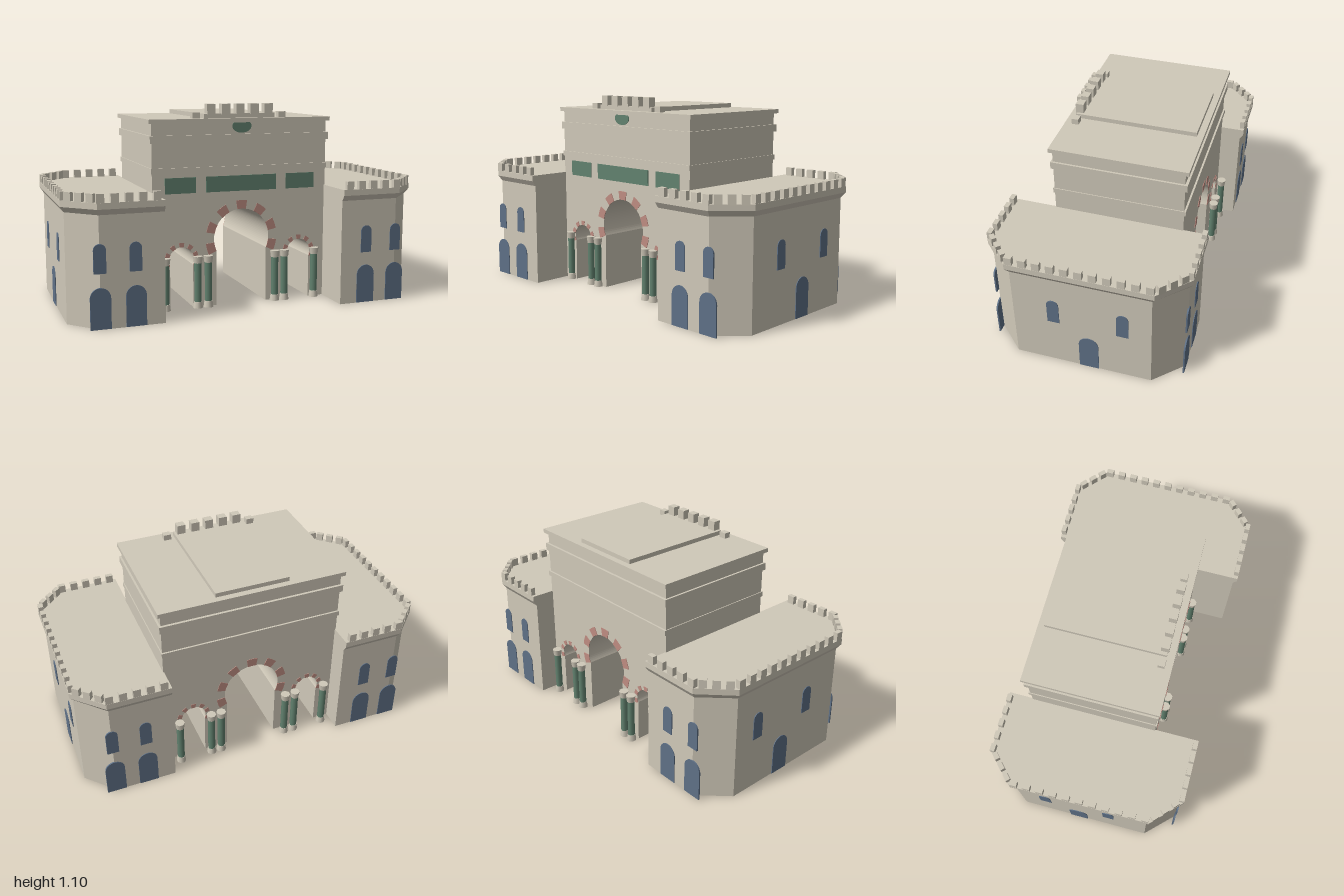
import * as THREE from 'three';

const mat = (name, color) => {
  const m = new THREE.MeshStandardMaterial({ color });
  m.name = name;
  return m;
};

export function createModel() {
  const root = new THREE.Group();
  root.name = 'cityGate';
  const stone = mat('stone', 0xd0c9b9);
  const green = mat('green', 0x62826f);
  const blue = mat('blue', 0x5f7187);
  const red = mat('brick', 0xbf8d82);
  const FRONT = 0.295, BACK = -0.405, PLATE = 0.008;
  const rad = THREE.MathUtils.degToRad;

  const add = (name, geo, material, parent = root) => {
    const mesh = new THREE.Mesh(geo, material);
    mesh.name = name;
    parent.add(mesh);
    return mesh;
  };
  const box = (name, x0, x1, y0, y1, z0, z1, material = stone) =>
    add(name, new THREE.BoxGeometry(x1 - x0, y1 - y0, z1 - z0), material)
      .position.set((x0 + x1) / 2, (y0 + y1) / 2, (z0 + z1) / 2);
  const extrude = (shape, depth, curveSegments = 24) =>
    new THREE.ExtrudeGeometry(shape, { depth, bevelEnabled: false, curveSegments });

  // Central block pierced by three horseshoe arches
  const SPAN = rad(114);
  const arches = [
    { x: -0.345, y: 0.267, r: 0.071, outer: 0.096 },
    { x: 0, y: 0.37, r: 0.16, outer: 0.208 },
    { x: 0.345, y: 0.267, r: 0.071, outer: 0.096 },
  ];
  const wall = new THREE.Shape();
  wall.moveTo(-0.505, 0);
  for (const a of arches) {
    const w = a.r * Math.sin(SPAN), spring = a.y + a.r * Math.cos(SPAN);
    wall.lineTo(a.x - w, 0);
    wall.lineTo(a.x - w, spring);
    wall.absarc(a.x, a.y, a.r, Math.PI / 2 + SPAN, Math.PI / 2 - SPAN, true);
    wall.lineTo(a.x + w, 0);
  }
  wall.lineTo(0.505, 0);
  wall.lineTo(0.505, 1.005);
  wall.lineTo(-0.505, 1.005);
  add('centralBlock', extrude(wall, FRONT - BACK, 32), stone).position.z = BACK;

  // Alternating brick wedges round each arch, front and back
  const step = (2 * SPAN) / 13;
  for (const a of arches) {
    for (let i = -3; i <= 3; i++) {
      const mid = Math.PI / 2 + i * 2 * step, s = new THREE.Shape();
      s.absarc(0, 0, a.outer, mid - step / 2, mid + step / 2, false);
      s.absarc(0, 0, a.r, mid + step / 2, mid - step / 2, true);
      const geo = extrude(s, PLATE, 5);
      for (const z of [FRONT - 0.005, BACK - 0.003]) {
        add('archWedge', geo, red).position.set(a.x, a.y, z);
      }
    }
  }

  // String courses, cornice and raised roof
  box('lowerBand', -0.51, 0.51, 0.74, 0.768, -0.415, 0.302);
  box('upperBand', -0.516, 0.516, 0.9, 0.94, -0.419, 0.306);
  box('cornice', -0.522, 0.522, 1.003, 1.026, -0.425, 0.311);
  box('raisedRoof', -0.208, 0.204, 1.026, 1.05, -0.39, 0.27);
  for (let i = -2; i <= 2; i++) {
    const x = i * 0.083;
    box('roofMerlon', x - 0.024, x + 0.024, 1.045, 1.102, 0.232, 0.275);
  }
  for (const x of [-0.252, 0.248]) {
    box('smallMerlon', x - 0.021, x + 0.021, 1.02, 1.057, 0.235, 0.272);
  }

  // Painted panels and oval on the front
  for (const [x0, x1] of [[-0.435, -0.263], [-0.205, 0.203], [0.262, 0.434]]) {
    box('frontPanel', x0, x1, 0.63, 0.715, FRONT - 0.004, FRONT + 0.004, green);
  }
  const oval = new THREE.Shape();
  oval.absellipse(0, 0, 0.055, 0.036, 0, Math.PI * 2);
  add('frontOval', extrude(oval, PLATE), green).position.set(0, 0.983, FRONT - 0.004);

  // Columns beside the arches
  const shaftGeo = new THREE.CylinderGeometry(0.02, 0.02, 0.24, 8);
  const capGeo = new THREE.CylinderGeometry(0.027, 0.022, 0.037, 8);
  const baseGeo = new THREE.CylinderGeometry(0.022, 0.027, 0.035, 8);
  for (const g of [shaftGeo, capGeo, baseGeo]) g.rotateY(Math.PI / 8);
  for (const z of [FRONT + 0.015, BACK - 0.034]) {
    for (const x of [-0.44, -0.258, -0.198, 0.195, 0.253, 0.437]) {
      const column = new THREE.Group();
      column.name = 'column';
      column.position.set(x, 0, z);
      root.add(column);
      add('shaft', shaftGeo, green, column).position.y = 0.14;
      add('capital', capGeo, stone, column).position.y = 0.2675;
      add('base', baseGeo, stone, column).position.y = 0.0175;
    }
  }

  // Tower solid lofted through half-octagon cross-sections
  const ring = (side, out) => {
    const p = [[0.5, 0.52 + out], [0.835 + out / 2, 0.52 + out], [0.98 + out, 0.37 + out * 0.8]];
    const half = p.map(([x, z]) => [x * side, z]);
    const loop = [...half, ...half.map(([x, z]) => [x, -z]).reverse()];
    return side > 0 ? loop : loop.reverse();
  };
  const loft = (rings) => {
    const pos = [], n = rings[0].pts.length;
    const v = (k, i) => {
      const [x, z] = rings[k].pts[i % n];
      return [x, rings[k].y, z];
    };
    for (let k = 0; k < rings.length - 1; k++) {
      for (let i = 0; i < n; i++) {
        const a = v(k, i), b = v(k, i + 1), c = v(k + 1, i + 1), d = v(k + 1, i);
        pos.push(...a, ...b, ...c, ...a, ...c, ...d);
      }
    }
    const top = rings.length - 1;
    for (let i = 1; i < n - 1; i++) {
      pos.push(...v(top, 0), ...v(top, i), ...v(top, i + 1));
      pos.push(...v(0, 0), ...v(0, i + 1), ...v(0, i));
    }
    const g = new THREE.BufferGeometry();
    g.setAttribute('position', new THREE.Float32BufferAttribute(pos, 3));
    g.computeVertexNormals();
    return g;
  };

  // Round-headed doors and windows
  const archPlate = (w, h) => {
    const s = new THREE.Shape();
    s.moveTo(-w / 2, 0);
    s.lineTo(w / 2, 0);
    s.absarc(0, h - w / 2, w / 2, 0, Math.PI, false);
    return extrude(s, PLATE, 12).translate(0, 0, -PLATE / 2);
  };
  const doorGeo = archPlate(0.106, 0.212), windowGeo = archPlate(0.064, 0.15);
  const opening = (name, x, z, turn) => {
    const mesh = add(name, name === 'door' ? doorGeo : windowGeo, blue);
    mesh.position.set(x, name === 'door' ? 0.001 : 0.285, z);
    mesh.rotation.y = turn;
  };

  // Row of merlons centred between two points, set just inside the edge
  const merlonGeo = new THREE.BoxGeometry(0.04, 0.05, 0.026);
  const merlons = (ax, az, bx, bz, count) => {
    for (let i = 0; i < count; i++) {
      const t = i / (count - 1);
      const m = add('towerMerlon', merlonGeo, stone);
      m.position.set(ax + (bx - ax) * t, 0.66, az + (bz - az) * t);
      m.rotation.y = -Math.atan2(bz - az, bx - ax);
    }
  };

  for (const side of [1, -1]) {
    add('tower', loft([
      { y: 0, pts: ring(side, 0) }, { y: 0.578, pts: ring(side, 0) },
      { y: 0.608, pts: ring(side, 0.02) }, { y: 0.64, pts: ring(side, 0.02) },
    ]), stone);
    for (const end of [1, -1]) {
      const turn = end > 0 ? 0 : Math.PI;
      for (const x of [0.652, 0.834]) {
        opening('door', side * x, end * 0.52, turn);
        opening('window', side * x, end * 0.52, turn);
      }
      merlons(side * 0.54, end * 0.526, side * 0.828, end * 0.526, 5);
      merlons(side * 0.868, end * 0.497, side * 0.962, end * 0.408, 3);
    }
    const turn = side * Math.PI / 2;
    opening('door', side * 0.98, -0.034, turn);
    opening('window', side * 0.98, 0.151, turn);
    opening('window', side * 0.98, -0.218, turn);
    merlons(side * 0.986, -0.363, side * 0.986, 0.363, 11);
  }

  return root;
}
